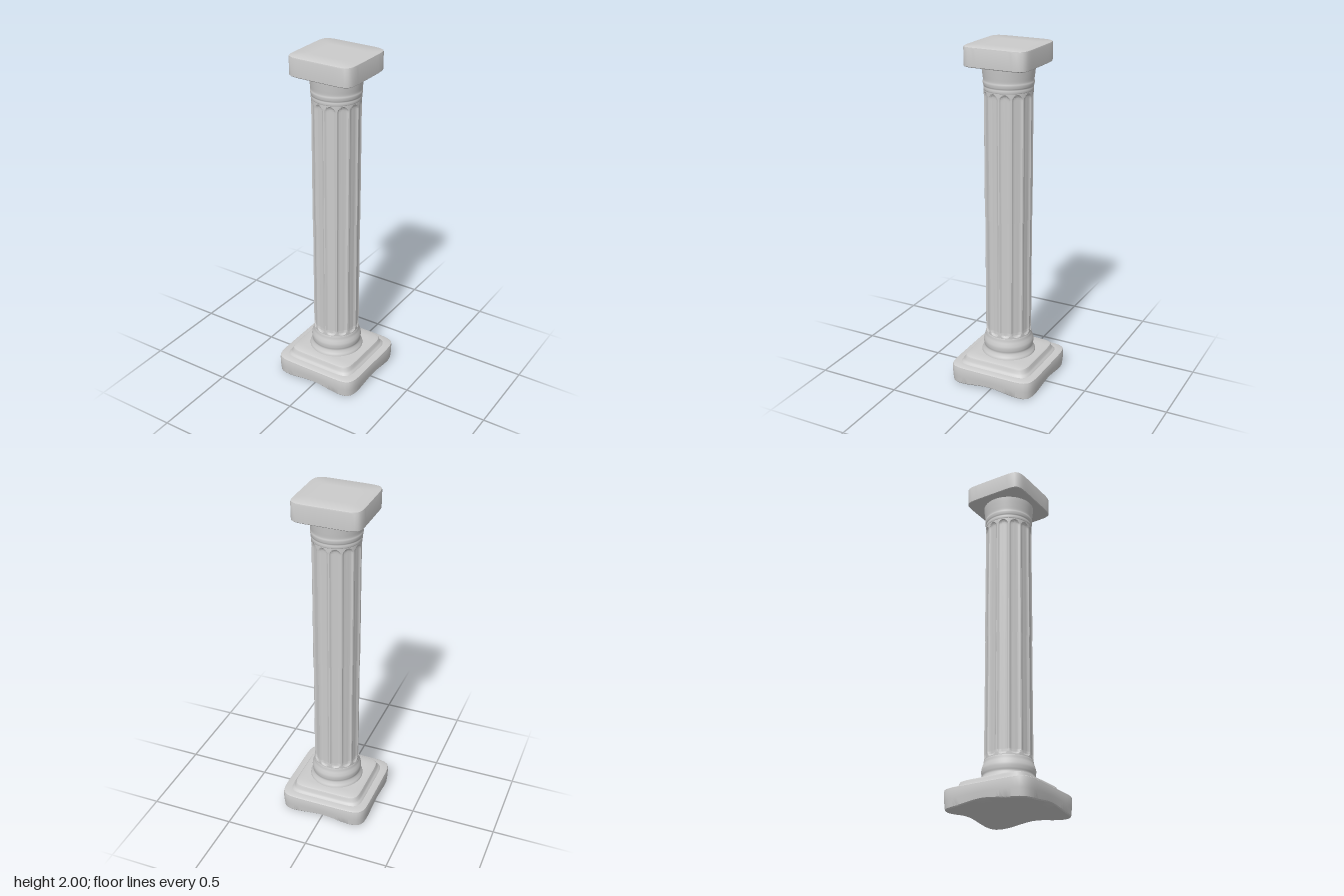
import * as THREE from 'three';
import { toCreasedNormals } from 'three/addons/utils/BufferGeometryUtils.js';

const FLUTES = 12, TURN = 0.05;

// Surface from rows of points around the y axis, listed bottom to top; caps close the ends.
function loft(rows, cols, point, caps = false) {
  const pos = [], idx = [];
  for (let r = 0; r < rows; r++)
    for (let c = 0; c < cols; c++) pos.push(...point(r, (c / cols) * Math.PI * 2, c));
  for (let r = 0; r < rows - 1; r++)
    for (let c = 0; c < cols; c++) {
      const a = r * cols + c, b = r * cols + (c + 1) % cols;
      idx.push(a, a + cols, b, b, a + cols, b + cols);
    }
  if (caps) {
    const last = (rows - 1) * cols, lo = pos.length / 3, hi = lo + 1;
    pos.push(0, pos[1], 0, 0, pos[last * 3 + 1], 0);
    for (let c = 0; c < cols; c++) {
      const n = (c + 1) % cols;
      idx.push(lo, c, n, hi, last + n, last + c);
    }
  }
  const g = new THREE.BufferGeometry();
  g.setAttribute('position', new THREE.Float32BufferAttribute(pos, 3));
  g.setIndex(idx);
  g.computeVertexNormals();
  return g;
}

// Soft-cornered square block from a profile of [half width, y, side lift]
function softBlock(profile, depthScale = 1, n = 8) {
  const g = loft(profile.length, 96, (r, t) => {
    const [h, y, lift = 0] = profile[r];
    const c = Math.cos(t), s = Math.sin(t);
    const k = h / Math.pow(Math.abs(c) ** n + Math.abs(s) ** n, 1 / n);
    return [c * k, y + lift * (1 + Math.cos(4 * t)) / 2, -s * k * depthScale];
  }, true);
  return toCreasedNormals(g, 0.6);
}

// Half of the fluted shaft; flutes have round ends at f0 and f1
function flutedDrum(y0, y1, f0, f1, radius) {
  const ys = [];
  for (let i = 0; i <= 16; i++) ys.push(y0 + i * 0.005);
  for (let i = 1; i < 8; i++) ys.push(y0 + 0.08 + (y1 - y0 - 0.16) * i / 8);
  for (let i = 16; i >= 0; i--) ys.push(y1 - i * 0.005);
  const per = 18, w = 0.029, depth = 0.01;
  const g = loft(ys.length, FLUTES * per, (r, t, c) => {
    const y = ys[r];
    const across = ((c % per) / per - 0.5) * (Math.PI * 2 / FLUTES) * radius;
    const along = Math.max(f0 + w - y, y - (f1 - w), 0);
    const q = Math.min(1, Math.hypot(across, along) / w);
    const rad = radius - depth * Math.sqrt(1 - q ** 4);
    return [Math.sin(t + TURN) * rad, y, Math.cos(t + TURN) * rad];
  });
  // angle runs the other way here, so flip the faces
  const ix = g.index.array;
  for (let i = 0; i < ix.length; i += 3) [ix[i + 1], ix[i + 2]] = [ix[i + 2], ix[i + 1]];
  g.computeVertexNormals();
  return toCreasedNormals(g, 0.7);
}

// Smooth turned moulding through [radius, y] points
function turned(points) {
  const curve = new THREE.SplineCurve(points.map(p => new THREE.Vector2(...p)));
  return new THREE.LatheGeometry(curve.getPoints(40), 64);
}

export function createModel() {
  const group = new THREE.Group();
  const stone = new THREE.MeshStandardMaterial({ color: 0xcccccc, side: THREE.DoubleSide });
  const add = (name, geometry) => {
    const mesh = new THREE.Mesh(geometry, stone);
    mesh.name = name;
    group.add(mesh);
  };

  // Base: plinth with scooped lower edges, and a smaller step on it
  add('plinth', softBlock([
    [0.13, 0, 0.003], [0.21, 0, 0.012], [0.258, 0, 0.022], [0.263, 0.006, 0.021],
    [0.267, 0.05, 0.01], [0.268, 0.1], [0.266, 0.109], [0.258, 0.114], [0.22, 0.115],
  ]));
  add('plinthStep', softBlock([
    [0.228, 0.11], [0.224, 0.118], [0.216, 0.124], [0.21, 0.133],
    [0.207, 0.147], [0.203, 0.156], [0.194, 0.161], [0.15, 0.163],
  ]));
  add('baseMoulding', turned([
    [0.16, 0.155], [0.157, 0.17], [0.149, 0.185], [0.144, 0.2], [0.147, 0.215],
    [0.148, 0.235], [0.144, 0.252], [0.138, 0.27], [0.134, 0.29], [0.124, 0.296],
  ]));

  // Shaft in two drums, the upper one slightly wider at the joint
  add('lowerDrum', flutedDrum(0.28, 1.02, 0.295, 2, 0.134));
  add('upperDrum', flutedDrum(1.01, 1.755, 0, 1.742, 0.136));

  // Capital: banded neck flaring up to a square slab
  add('capitalMoulding', turned([
    [0.125, 1.742], [0.136, 1.75], [0.138, 1.762], [0.137, 1.772], [0.14, 1.78],
    [0.142, 1.795], [0.14, 1.808], [0.143, 1.835], [0.147, 1.87], [0.149, 1.895],
  ]));
  const slab = softBlock([
    [0.12, 1.89], [0.194, 1.89], [0.198, 1.894], [0.199, 1.99], [0.197, 1.997], [0.192, 2], [0.1, 2],
  ], 0.96);
  add('capitalSlab', slab);
  return group;
}
